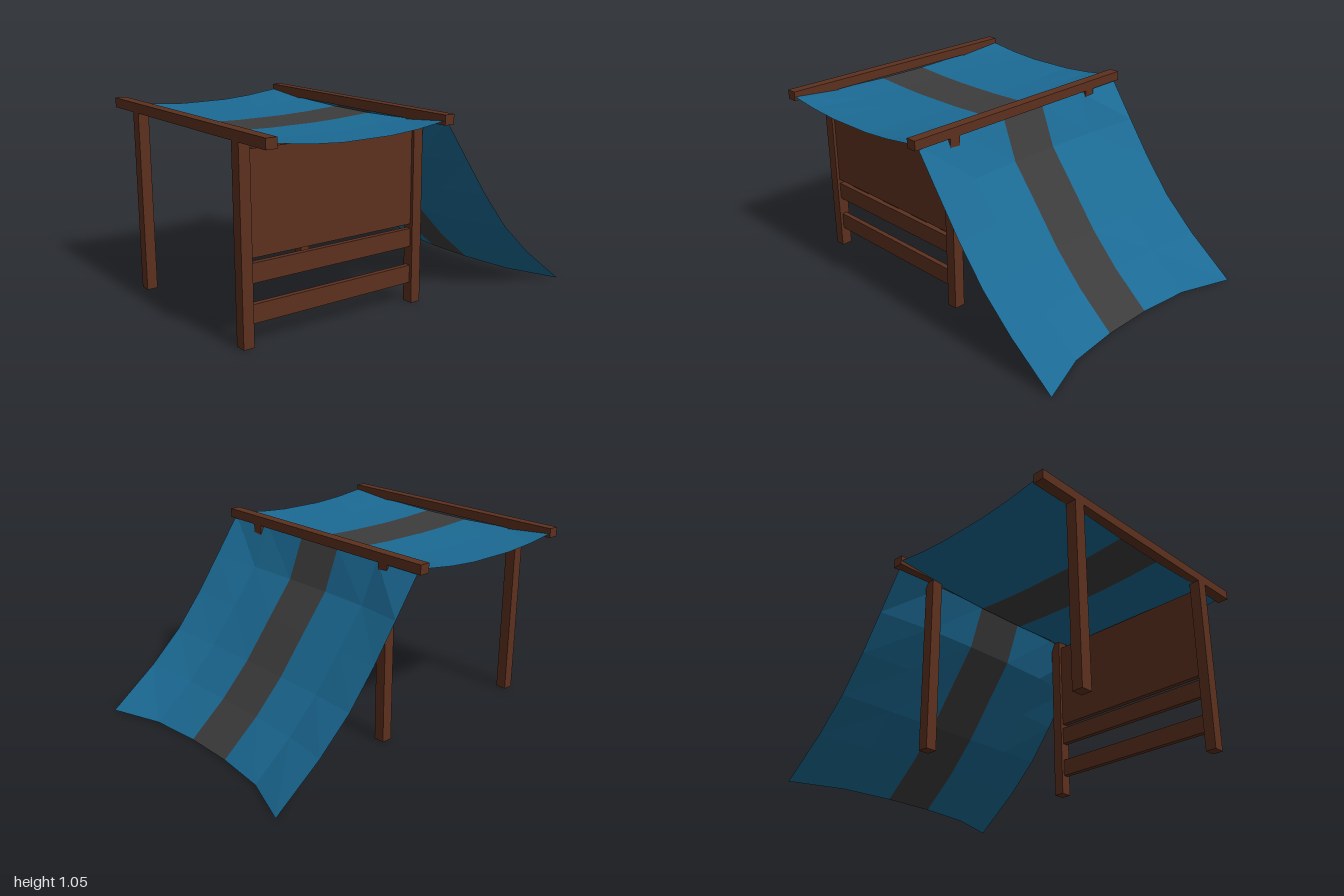
import * as THREE from 'three';

const wood = new THREE.MeshStandardMaterial({ color: 0x5c301e, flatShading: true });
const cloth = (color) => new THREE.MeshStandardMaterial({ color, flatShading: true, side: THREE.DoubleSide });
const blue = cloth(0x1b6a94);
const grey = cloth(0x3c3c3c);

// A box given by its lower and upper corners
function board(name, [x0, y0, z0], [x1, y1, z1]) {
  const mesh = new THREE.Mesh(new THREE.BoxGeometry(x1 - x0, y1 - y0, z1 - z0), wood);
  mesh.position.set((x0 + x1) / 2, (y0 + y1) / 2, (z0 + z1) / 2);
  mesh.name = name;
  return mesh;
}

// One band of cloth between two z columns; each row is a [x, y] blend of centre and edge lines
function band(name, material, centre, edge, columns) {
  const positions = [];
  const indices = [];
  const n = columns.length;
  centre.forEach(([cx, cy], i) => {
    const [ex, ey] = edge[i];
    columns.forEach(([z, f], j) => {
      positions.push(cx + (ex - cx) * f, cy + (ey - cy) * f, z);
      if (i < centre.length - 1 && j < n - 1) {
        const a = i * n + j;
        indices.push(a, a + 1, a + n, a + 1, a + n + 1, a + n);
      }
    });
  });
  const geometry = new THREE.BufferGeometry();
  geometry.setAttribute('position', new THREE.Float32BufferAttribute(positions, 3));
  geometry.setIndex(indices);
  geometry.computeVertexNormals();
  const mesh = new THREE.Mesh(geometry, material);
  mesh.name = name;
  return mesh;
}

// Striped cloth: blue bands on both sides of a grey stripe
function stripedCloth(name, centre, edge, [z1, z2, z3], f) {
  const group = new THREE.Group();
  group.name = name;
  group.add(
    band('backBand', blue, centre, edge, [[-z3, 1], [-z2, f], [-z1, 0]]),
    band('stripe', grey, centre, edge, [[-z1, 0], [z1, 0]]),
    band('frontBand', blue, centre, edge, [[z1, 0], [z2, f], [z3, 1]]),
  );
  return group;
}

export function createModel() {
  const model = new THREE.Group();
  model.name = 'marketAwning';

  // Posts and the beams resting on them
  for (const x of [-0.97, 0.075]) {
    for (const z of [-0.523, 0.523]) {
      model.add(board('post', [x - 0.03, 0, z - 0.032], [x + 0.03, 1.01, z + 0.032]));
    }
    model.add(board('beam', [x - 0.03, 1, -0.785], [x + 0.03, 1.053, 0.785]));
  }

  // Front panel and slats
  for (const [name, y0, y1] of [['panel', 0.44, 0.96], ['slat', 0.315, 0.415], ['slat', 0.113, 0.21]]) {
    model.add(board(name, [-0.95, y0, 0.508], [0.055, y1, 0.538]));
  }

  // Sagging roof cloth, lower along its middle than at its two ends
  const roofX = [-0.96, -0.76, -0.58, -0.3, -0.13, 0.065];
  const sag = (low, rise) => roofX.map((x) => [x, low + rise * ((x + 0.4475) / 0.5125) ** 2]);
  model.add(stripedCloth('roofCloth', sag(0.966, 0.02), sag(0.983, 0.042), [0.155, 0.465, 0.78], 0.25));

  // Cloth draped from the left beam to the ground, flaring at its side edges
  const drapeCentre = [[0.075, 1.0], [0.165, 0.77], [0.32, 0.57], [0.48, 0.36], [0.65, 0.18], [0.86, 0]];
  const drapeEdge = [[0.085, 1.015], [0.24, 0.79], [0.38, 0.59], [0.54, 0.39], [0.73, 0.21], [1, 0]];
  model.add(stripedCloth('drapeCloth', drapeCentre, drapeEdge, [0.15, 0.455, 0.757], 0.22));

  return model;
}
